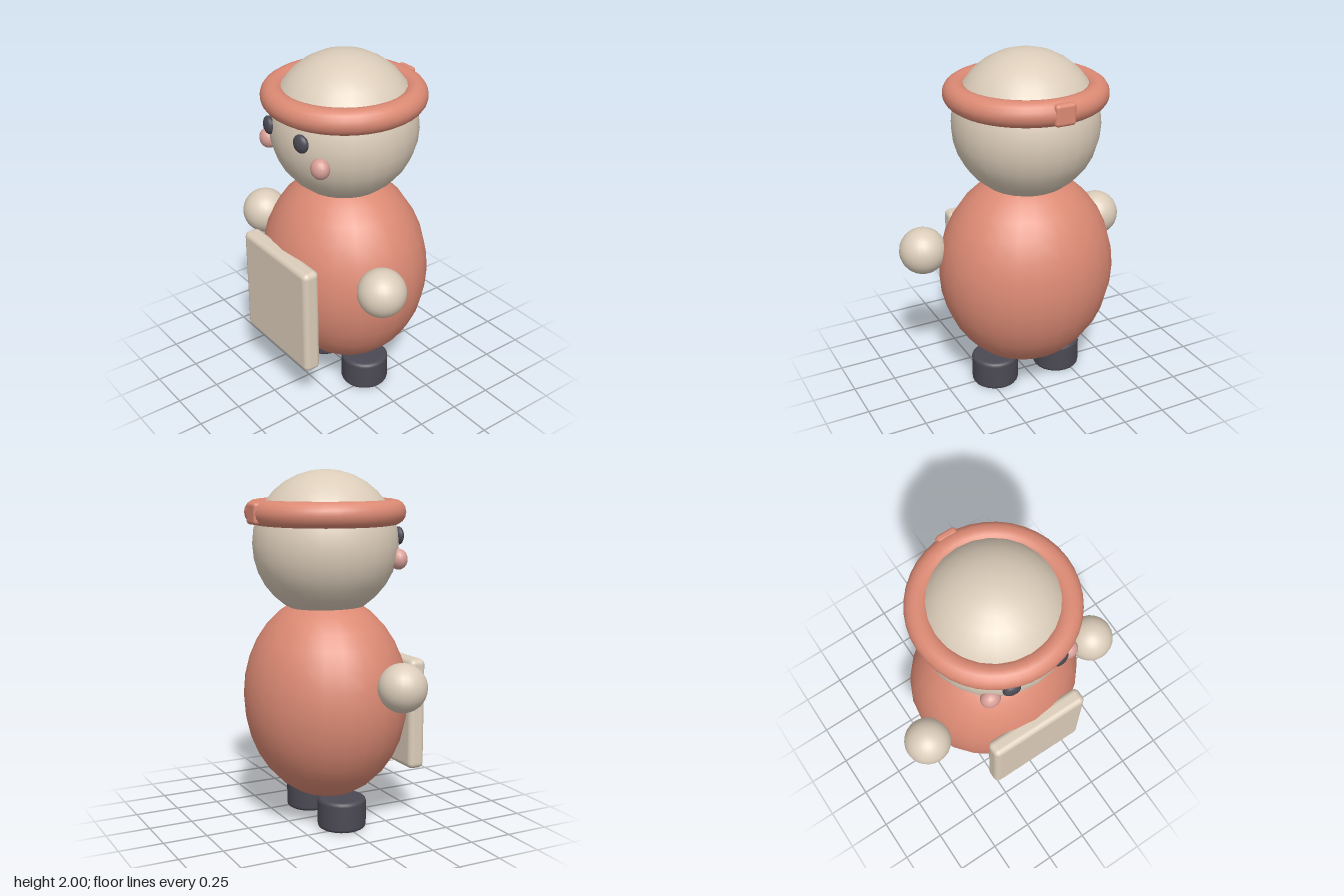
import * as THREE from 'three';
import { RoundedBoxGeometry } from 'three/addons/geometries/RoundedBoxGeometry.js';

const material = (name, color) => {
  const m = new THREE.MeshStandardMaterial({ color });
  m.name = name;
  return m;
};

export function createModel() {
  const group = new THREE.Group();
  const coral = material('coral', 0xdc8a74);
  const cream = material('cream', 0xdccdba);
  const charcoal = material('charcoal', 0x4b4953);
  const pink = material('pink', 0xd9a098);
  const Z = -0.013; // shared axis of head, body and feet

  const add = (name, geometry, mat, x, y, z) => {
    const mesh = new THREE.Mesh(geometry, mat);
    mesh.name = name;
    mesh.position.set(x, y, z);
    group.add(mesh);
    return mesh;
  };
  const ball = (rx, ry, rz, w = 24, h = 16) =>
    new THREE.SphereGeometry(1, w, h).scale(rx, ry, rz);

  // Egg-shaped body and round head
  add('body', ball(0.51, 0.585, 0.46), coral, 0, 0.72, Z);
  add('head', ball(0.41, 0.41, 0.41), cream, 0, 1.59, Z);

  // Headband with a small knot at the back
  const band = new THREE.TorusGeometry(0.38, 0.07, 16, 40).rotateX(Math.PI / 2);
  add('headband', band, coral, 0, 1.766, Z);
  add('headbandKnot', new RoundedBoxGeometry(0.12, 0.12, 0.05, 3, 0.02), coral, 0, 1.766, -0.441);

  // Square pad on the belly
  add('frontPad', new RoundedBoxGeometry(0.61, 0.64, 0.1, 4, 0.032), cream, 0, 0.62, 0.425);

  // Foot profile: a short drum with softened rims
  const r = 0.137, h = 0.175, b = 0.022;
  const profile = [[0, 0], [r - b - 0.004, 0], [r - b, 0]];
  for (const [cy, start] of [[b, -Math.PI / 2], [h - b, 0]]) {
    for (let i = 1; i <= 4; i++) {
      const a = start + (i / 4) * (Math.PI / 2);
      profile.push([r - b + b * Math.cos(a), cy + b * Math.sin(a)]);
    }
    if (cy === b) profile.push([r, h - b]);
  }
  profile.push([r - b - 0.004, h], [0, h]);
  const foot = new THREE.LatheGeometry(profile.map(([x, y]) => new THREE.Vector2(x, y)), 24);

  // Mirrored parts
  for (const [side, s] of [['left', 1], ['right', -1]]) {
    add(side + 'Foot', foot, charcoal, s * 0.205, 0, Z);
    add(side + 'Hand', ball(0.134, 0.134, 0.134), cream, s * 0.565, 0.86, 0.16);
    const eye = add(side + 'Eye', ball(0.049, 0.051, 0.028, 16, 12), charcoal, s * 0.148, 1.63, 0.374);
    eye.rotation.y = s * 0.2;
    add(side + 'Cheek', ball(0.056, 0.058, 0.05, 16, 12), pink, s * 0.24, 1.508, 0.32);
  }
  return group;
}
